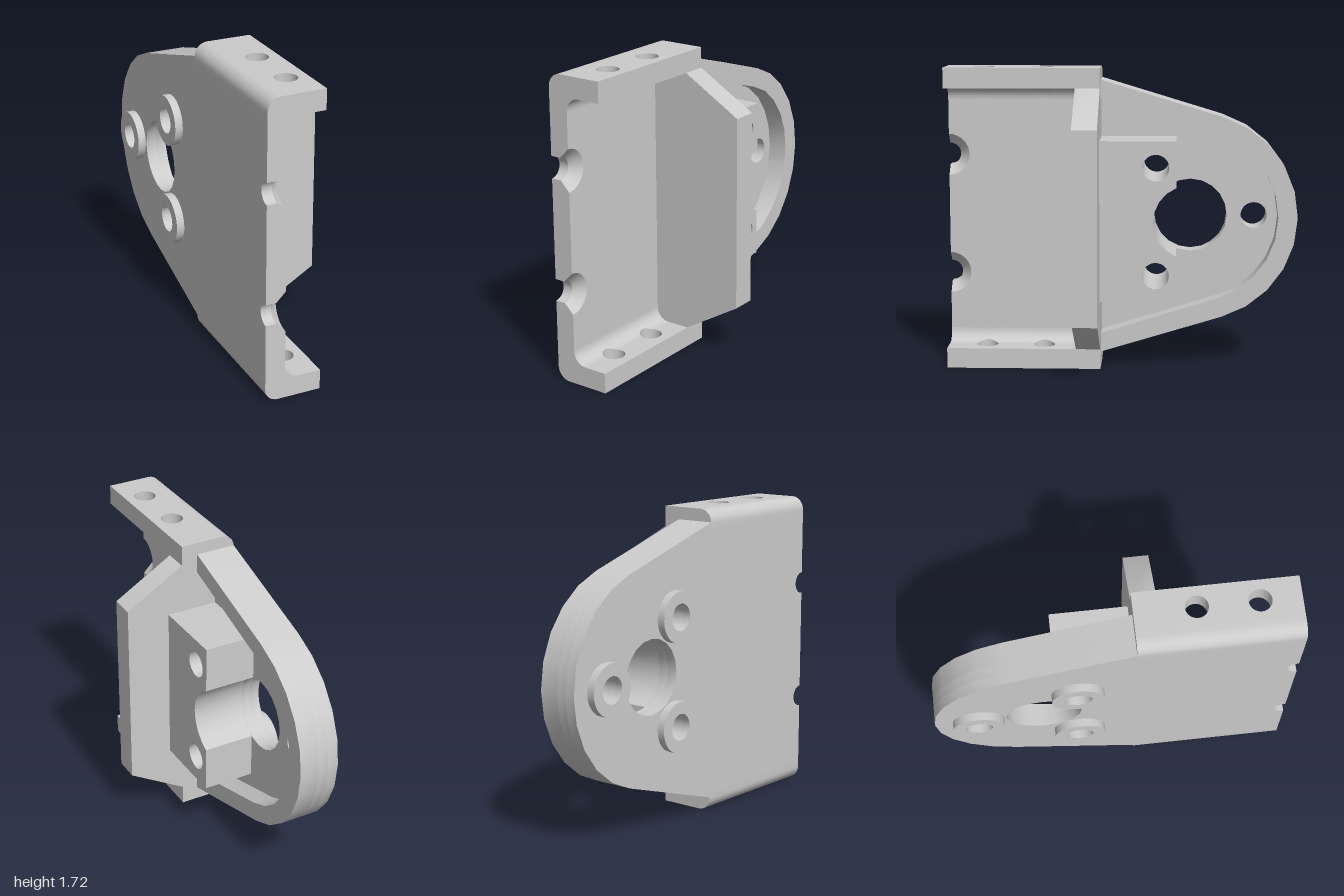
import * as THREE from 'three';
import { toCreasedNormals } from 'three/addons/utils/BufferGeometryUtils.js';

const H = 1.72, T = 0.115, R = 0.075;             // channel height, wall thickness, corner radius
const XO = -0.31, XI = XO + T, XF = 0.015;        // outer wall, inner wall, flange edge
const ZB = 0.12, MID = 0.865, HUB_Z = -0.4;       // back of channel, bearing centre
const FLANGE_HOLES = [0.45, 0.78], HOLE_X = -0.1, HOLE_R = 0.062;
const NOTCHES = [1.21, 0.52];
const BOLTS = [[-0.195, 1.17], [-0.195, 0.56], [-0.755, MID]];
const BOLT_R = 0.075;

const material = new THREE.MeshStandardMaterial({ color: 0xcccccc, side: THREE.DoubleSide });

export function createModel() {
  const model = new THREE.Group();
  const add = (name, geometry) => {
    const mesh = new THREE.Mesh(toCreasedNormals(geometry, 0.6), material);
    mesh.name = name;
    model.add(mesh);
  };

  // Points along a circular arc
  const arc = (cx, cy, r, a0, a1, n) => Array.from({ length: n + 1 }, (_, i) => {
    const a = a0 + (a1 - a0) * i / n;
    return new THREE.Vector2(cx + r * Math.cos(a), cy + r * Math.sin(a));
  });
  const P = (x, y) => new THREE.Vector2(x, y);
  const extrude = (points, depth, holes = []) => {
    const shape = new THREE.Shape(points);
    shape.holes = holes.map(([x, y, r, n]) => new THREE.Path(arc(x, y, r, 0, -2 * Math.PI, n).slice(0, -1)));
    return new THREE.ExtrudeGeometry(shape, { depth, bevelEnabled: false });
  };
  // Side profiles are drawn as (-z, y) and extruded along x
  const slab = (points, x0, x1, holes) =>
    extrude(points, x1 - x0, holes).rotateY(Math.PI / 2).translate(x0, 0, 0);

  const boltHoles = BOLTS.map(([z, y]) => [-z, y, BOLT_R, 32]);
  const hubHole = [0.39, MID, 0.21, 20];
  const sweep = 73.5 * Math.PI / 180;
  const nose = r => arc(-HUB_Z, MID, r, -sweep, sweep, 10);

  // Main wall: channel web and rounded nose in one, notched at the front edge
  const wall = notchR => [
    P(-1, T), P(-ZB, T), P(-ZB, 0.08), ...nose(0.6), P(-ZB, 1.65), P(-ZB, H - T), P(-1, H - T),
    ...NOTCHES.flatMap(y => arc(-1, y, notchR, Math.PI / 2, -Math.PI / 2, 16)),
  ];
  const split = -0.25, small = 0.062, big = 0.118;
  add('outerWall', slab(wall(small), XO, split, [...boltHoles, hubHole]));
  const inner = slab(wall(big), split, XI, [...boltHoles, hubHole]);
  // Taper the notches into countersinks
  const pos = inner.attributes.position;
  for (let i = 0; i < pos.count; i++) {
    if (pos.getX(i) > split + 0.01) continue;
    for (const y of NOTCHES) {
      const dy = pos.getY(i) - y, dz = pos.getZ(i) - 1;
      if (Math.hypot(dy, dz) < big + 0.01) {
        pos.setY(i, y + dy * small / big);
        pos.setZ(i, 1 + dz * small / big);
      }
    }
  }
  add('innerWall', inner);

  // Raised rim around the nose
  add('noseRim', slab([P(-ZB, 0.08), ...nose(0.6), P(-ZB, 1.65), P(-ZB, 1.54),
    ...nose(0.49).reverse(), P(-ZB, 0.19)], XI, -0.08));

  // Bearing block, cut by the hub bore
  const bite = Math.acos(0.08 / 0.21);
  add('bearingBlock', slab([P(-ZB, 0.41), P(0.31, 0.41),
    ...arc(0.39, MID, 0.21, Math.PI + bite, Math.PI - bite, 8),
    P(0.31, 1.32), P(-ZB, 1.32)], XI, 0.1, boltHoles.slice(0, 2)));

  // Bolt bosses on the outer face
  for (const [z, y] of BOLTS)
    add('boltBoss', slab(arc(-z, y, 0.144, 0, 2 * Math.PI, 40).slice(0, -1), -0.355, XO, [[-z, y, BOLT_R, 32]]));

  // Cross plate with chamfered free corners
  const plateHalf = [...arc(XI + R, T + R, R, Math.PI, 1.5 * Math.PI, 8), P(XF, T), P(0.35, 0.315)];
  const mirrored = plateHalf.map(p => P(p.x, H - p.y)).reverse();
  add('crossPlate', extrude([...plateHalf, ...mirrored], 0.14).translate(0, 0, ZB));

  // Flanges, rounded outer corners and inner fillets, bottom and top
  for (const top of [false, true]) {
    const Y = y => top ? H - y : y;
    add('flange', extrude([P(XI, -1), P(XF, -1), P(XF, -ZB), P(XI, -ZB)], T,
      FLANGE_HOLES.map(z => [HOLE_X, -z, HOLE_R, 32]))
      .rotateX(-Math.PI / 2).translate(0, top ? H - T : 0, 0));
    const corner = [...arc(XO + R, R, R, Math.PI, 1.5 * Math.PI, 8), P(XI, 0), P(XI, T), P(XO, T)];
    add('roundedCorner', extrude(corner.map(p => P(p.x, Y(p.y))), 1 - ZB).translate(0, 0, ZB));
    add('innerFillet', filletGeometry(Y, top));
  }
  return model;
}

// Concave fillet along z, trimmed where the flange holes run into it
function filletGeometry(Y, flip) {
  const rows = 88, cols = 9, points = [], index = [];
  const cx = XI + R, cy = T + R;
  for (let j = 0; j <= rows; j++) {
    const z = ZB + (1 - ZB) * j / rows;
    let end = cx;
    for (const hz of FLANGE_HOLES) {
      const d = Math.abs(z - hz);
      if (d < HOLE_R) end = Math.min(end, HOLE_X - Math.sqrt(HOLE_R ** 2 - d * d));
    }
    const tEnd = Math.acos((cx - end) / R);
    for (let k = 0; k < cols; k++) {
      const t = tEnd * k / (cols - 1);
      points.push(cx - R * Math.cos(t), Y(cy - R * Math.sin(t)), z);
    }
    points.push(end, Y(T), z);
  }
  // Last row collapses to the corner and closes the front end
  for (let k = 0; k <= cols; k++) points.push(XI, Y(T), 1);
  const w = cols + 1;
  for (let j = 0; j <= rows; j++) for (let k = 0; k < cols; k++) {
    const a = j * w + k, b = a + w;
    if (flip) index.push(a, a + 1, b, b, a + 1, b + 1);
    else index.push(a, b, a + 1, b, b + 1, a + 1);
  }
  const g = new THREE.BufferGeometry();
  g.setAttribute('position', new THREE.Float32BufferAttribute(points, 3));
  g.setIndex(index);
  return g;
}
